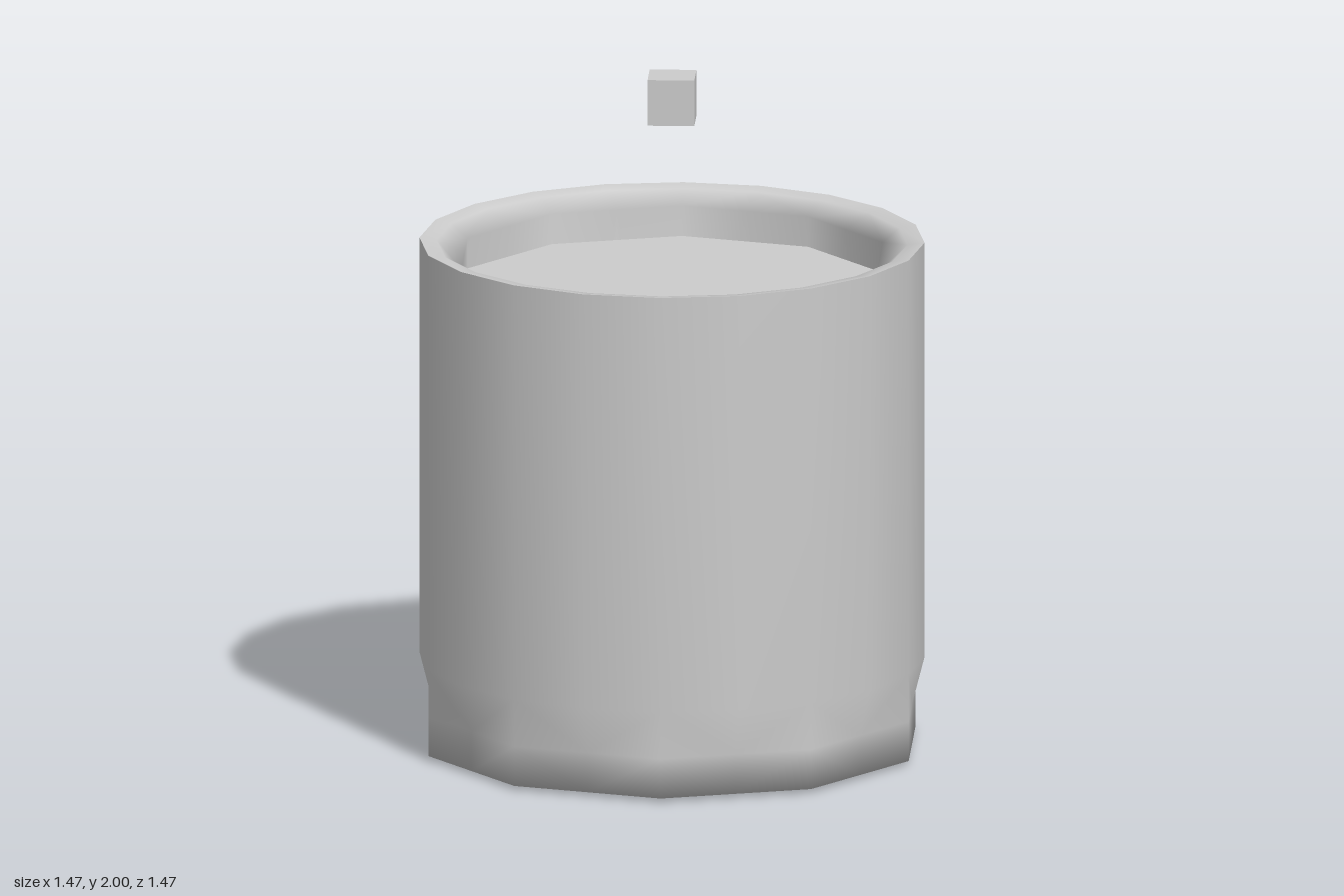
import * as THREE from 'three';

const SIDES = 20;
const FLAT = Math.cos(Math.PI / 10); // mid-edge radius of a decagon

// Smooth skin through rings of [height, radius at even corners, radius at odd corners]
function skin(rings) {
  const positions = [], index = [];
  for (const [y, even, odd] of rings) {
    for (let i = 0; i < SIDES; i++) {
      const t = (i / SIDES) * Math.PI * 2;
      const r = i % 2 ? odd : even;
      positions.push(r * Math.sin(t), y, r * Math.cos(t));
    }
  }
  for (let k = 0; k < rings.length - 1; k++) {
    for (let i = 0; i < SIDES; i++) {
      const j = (i + 1) % SIDES;
      const a = k * SIDES + i, b = k * SIDES + j;
      const d = a + SIDES, c = b + SIDES;
      // Alternate the diagonals so the facets form a zigzag
      if (i % 2) index.push(a, b, c, a, c, d);
      else index.push(a, b, d, b, c, d);
    }
  }
  const geometry = new THREE.BufferGeometry();
  geometry.setAttribute('position', new THREE.Float32BufferAttribute(positions, 3));
  geometry.setIndex(index);
  geometry.computeVertexNormals();
  return geometry;
}

const round = (y, r) => [y, r, r];
const decagon = (y, r) => [y, r, r * FLAT];

export function createModel() {
  const group = new THREE.Group();
  const material = new THREE.MeshStandardMaterial({ color: 0xcccccc, side: THREE.DoubleSide });
  const add = (name, geometry, y = 0) => {
    const mesh = new THREE.Mesh(geometry, material);
    mesh.name = name;
    mesh.position.y = y;
    group.add(mesh);
  };

  // Ten-sided base that turns into a round wall
  add('outerWall', skin([
    round(0, 0),
    decagon(0.012, 0.735),
    decagon(0.13, 0.735),
    round(0.27, 0.735),
    round(1.507, 0.735),
  ]));

  // Rounded lip, ten-sided inside wall and inside floor
  add('rimAndInside', skin([
    round(1.507, 0.735),
    round(1.5, 0.685),
    decagon(1.46, 0.635),
    decagon(0.15, 0.635),
    round(0.15, 0),
  ]));

  // Flat surface of the contents
  add('liquidSurface', new THREE.CircleGeometry(0.635, 10, Math.PI / 2).rotateX(-Math.PI / 2), 1.37);

  // Small cube floating above
  add('floatingCube', new THREE.BoxGeometry(0.136, 0.136, 0.136), 1.932);

  return group;
}
